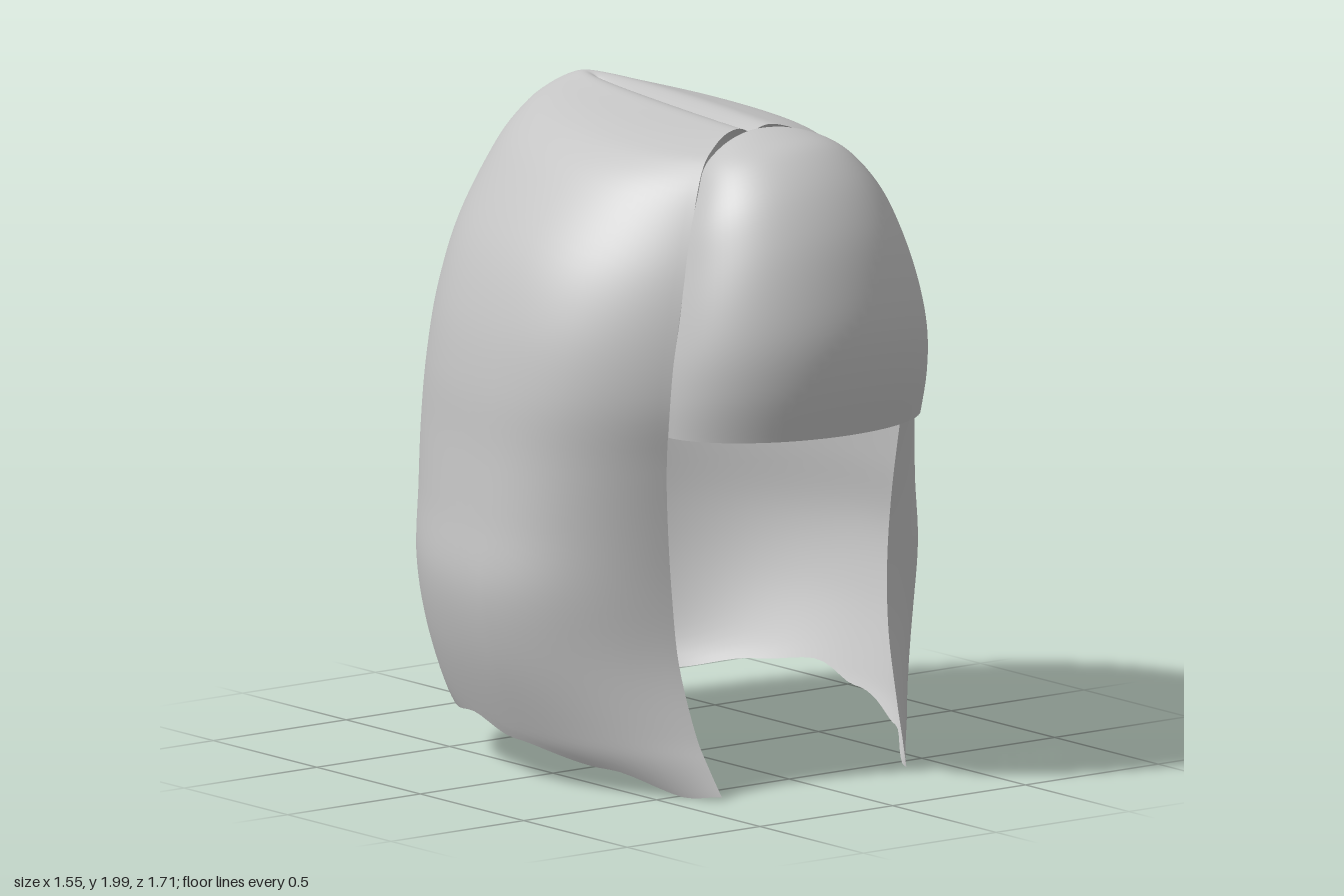
import * as THREE from 'three';

// Horizontal levels from the parting down: y, half width, back depth, front edge x, front edge z
const LEVELS = [
  [1.985, 0, 0.40, 0, 0.32],
  [2.0, 0.06, 0.47, 0.05, 0.33],
  [1.985, 0.13, 0.53, 0.11, 0.34],
  [1.95, 0.25, 0.59, 0.18, 0.37],
  [1.9, 0.35, 0.64, 0.24, 0.40],
  [1.8, 0.46, 0.70, 0.30, 0.44],
  [1.6, 0.60, 0.77, 0.375, 0.49],
  [1.4, 0.68, 0.81, 0.425, 0.51],
  [1.2, 0.72, 0.835, 0.447, 0.505],
  [1.0, 0.735, 0.855, 0.437, 0.475],
  [0.8, 0.755, 0.845, 0.42, 0.46],
  [0.6, 0.775, 0.83, 0.405, 0.46],
  [0.4, 0.74, 0.81, 0.395, 0.48],
  [0.2, 0.67, 0.765, 0.38, 0.54],
  [0.1, 0.62, 0.68, 0.365, 0.585],
  [0, 0.52, 0.60, 0.345, 0.635],
];

// Fringe rows: edge y, edge x, edge z, centre y, centre z
const FRINGE = [
  [1.94, 0, 0.32, 1.945, 0.32],
  [1.91, 0.15, 0.36, 1.965, 0.40],
  [1.87, 0.23, 0.39, 1.955, 0.50],
  [1.8, 0.285, 0.43, 1.92, 0.60],
  [1.7, 0.34, 0.465, 1.83, 0.70],
  [1.58, 0.38, 0.49, 1.70, 0.78],
  [1.45, 0.415, 0.51, 1.55, 0.83],
  [1.32, 0.44, 0.512, 1.4, 0.855],
  [1.2, 0.447, 0.505, 1.25, 0.845],
  [1.095, 0.442, 0.49, 1.1, 0.81],
];

// Height of the lower hem, from centre back (s = 0) to the front edge (s = 1)
const HEM = [[0, 0.12], [0.25, 0.125], [0.4, 0.16], [0.5, 0.18], [0.6, 0.13], [0.8, 0.075], [0.93, 0.005], [1, 0.015]];

// Smooth interpolation through the rows of a table at a fractional index
function sample(table, u) {
  const last = table.length - 1;
  const i = Math.min(Math.floor(u), last - 1), f = u - i;
  const [a, b, c, d] = [Math.max(i - 1, 0), i, i + 1, Math.min(i + 2, last)].map((k) => table[k]);
  return b.map((q, k) => q + 0.5 * f * (c[k] - a[k]
    + f * (2 * a[k] - 5 * q + 4 * c[k] - d[k] + f * (3 * (q - c[k]) + d[k] - a[k]))));
}

function hemHeight(s) {
  let i = 0;
  while (i < HEM.length - 2 && s > HEM[i + 1][0]) i++;
  const [s0, y0] = HEM[i], [s1, y1] = HEM[i + 1];
  return THREE.MathUtils.lerp(y0, y1, THREE.MathUtils.smoothstep(s, s0, s1));
}

// Fractional level at which the shell reaches a given height
function levelAt(y) {
  let lo = 6, hi = LEVELS.length - 1;
  for (let k = 0; k < 30; k++) {
    const mid = (lo + hi) / 2;
    if (sample(LEVELS, mid)[0] > y) lo = mid; else hi = mid;
  }
  return lo;
}

// Surface from a rule point(column 0..1, row 0..1)
function sheet(cols, rows, point) {
  const pos = [], index = [];
  for (let r = 0; r <= rows; r++) {
    for (let c = 0; c <= cols; c++) pos.push(...point(c / cols, r / rows));
  }
  for (let r = 0; r < rows; r++) {
    for (let c = 0; c < cols; c++) {
      const a = r * (cols + 1) + c, b = a + cols + 1;
      index.push(a, a + 1, b, a + 1, b + 1, b);
    }
  }
  const g = new THREE.BufferGeometry();
  g.setAttribute('position', new THREE.Float32BufferAttribute(pos, 3));
  g.setIndex(index);
  g.computeVertexNormals();
  return g;
}

// Long hair: wraps from one front edge round the back to the other
function shellPoint(cu, rv) {
  const side = cu * 2 - 1, s = Math.abs(side);
  const u = rv * levelAt(hemHeight(s));
  const [y, w, back, ex, ez] = sample(LEVELS, u);
  let x, z;
  if (s <= 0.6) {
    const a = (s / 0.6) * Math.PI / 2;
    x = w * Math.sin(a);
    z = -back * Math.cos(a);
  } else {
    const f = (s - 0.6) / 0.4, g = 1 - f;
    x = w * (g * g + 2 * f * g) + ex * f * f;
    z = 2 * f * g * ez * 0.6 + ez * f * f;
  }
  // The crown slopes down toward the front
  const tilt = 0.06 * Math.max(0, 1 - u / 7) * (z + 0.5);
  return [Math.sign(side) * x, y - tilt, z];
}

// Fringe: rounded panel bulging forward between the front edges
function fringePoint(cu, rv) {
  const [ey, ex, ez, cy, cz] = sample(FRINGE, rv * (FRINGE.length - 1));
  const a = (0.5 - cu) * Math.PI, k = Math.cos(a);
  return [ex * Math.sin(a), ey + (cy - ey) * k, ez + (cz - ez) * k];
}

export function createModel() {
  const hair = new THREE.MeshStandardMaterial({ color: 0xc4c4c4, side: THREE.DoubleSide });
  hair.name = 'hairGrey';
  const group = new THREE.Group();
  group.name = 'hair';
  const add = (name, geometry) => {
    const mesh = new THREE.Mesh(geometry, hair);
    mesh.name = name;
    mesh.position.x = -0.005;
    group.add(mesh);
  };
  add('longHair', sheet(100, 75, shellPoint));
  add('fringe', sheet(40, 45, fringePoint));
  return group;
}
